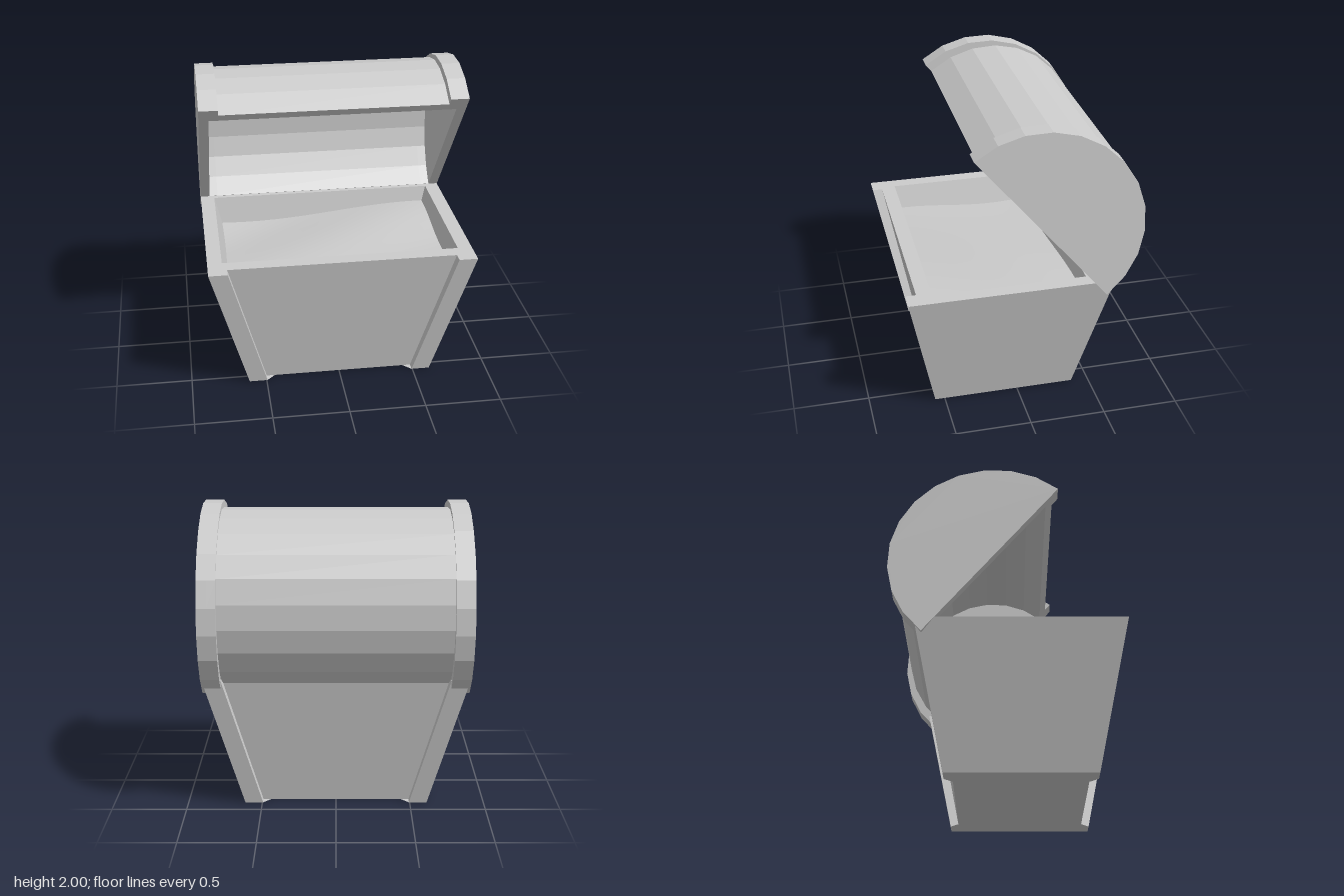
import * as THREE from 'three';

const grey = () => new THREE.MeshStandardMaterial({ color: 0xcccccc, flatShading: true });

// Ring of 12 points: three per corner, mirrored round the four corners
function ring(y, corner) {
  const pts = [];
  for (const [sx, sz, flip] of [[1, 1, 0], [-1, 1, 1], [-1, -1, 0], [1, -1, 1]]) {
    const c = flip ? [...corner].reverse() : corner;
    for (const [x, z] of c) pts.push([sx * x, y, sz * z]);
  }
  return pts;
}
const rect = (y, x, z) => ring(y, [[x, z], [x, z], [x, z]]);
// Outline with full-depth ends and a recessed middle panel
const outline = (y, x, z, xStrip, zPanel) => ring(y, [[x, z], [xStrip, z], [xStrip, zPanel]]);

// Skin a list of rings
function loft(rings) {
  const pos = [];
  for (let i = 0; i < rings.length - 1; i++) {
    const lo = rings[i], up = rings[i + 1], n = lo.length;
    for (let j = 0; j < n; j++) {
      const k = (j + 1) % n;
      pos.push(...lo[j], ...up[j], ...up[k], ...lo[j], ...up[k], ...lo[k]);
    }
  }
  const g = new THREE.BufferGeometry();
  g.setAttribute('position', new THREE.Float32BufferAttribute(pos, 3));
  g.computeVertexNormals();
  return g;
}

// Half-round arc with 12 facets
function arc(r, h) {
  const pts = [];
  for (let i = 0; i <= 12; i++) {
    const t = (i * Math.PI) / 12;
    pts.push(new THREE.Vector2(r * Math.cos(t), h * Math.sin(t)));
  }
  return pts;
}

// Half-round slab, or half-round shell when an inner arc is given
function vault(name, outer, inner, from, to) {
  const pts = inner ? [...outer, ...[...inner].reverse()] : outer;
  const g = new THREE.ExtrudeGeometry(new THREE.Shape(pts), { depth: to - from, bevelEnabled: false });
  g.translate(0, 0, from);
  const m = new THREE.Mesh(g, grey());
  m.name = name;
  return m;
}

export function createModel() {
  const model = new THREE.Group();
  model.name = 'chest';

  // Tapered box with recessed front and back panels and a hollow inside
  const base = new THREE.Group();
  base.name = 'base';
  base.position.z = 0.09;
  const box = new THREE.Mesh(loft([
    rect(0, 0, 0),
    rect(0, 0.4, 0.38),
    outline(0, 0.615, 0.475, 0.495, 0.42),
    outline(0.925, 0.862, 0.665, 0.74, 0.597),
    rect(0.925, 0.768, 0.5),
    rect(0.65, 0.695, 0.445),
    rect(0.65, 0, 0),
  ]), grey());
  box.name = 'box';
  base.add(box);

  // Gently heaped contents, edges tucked into the walls
  const heap = new THREE.PlaneGeometry(1.49, 0.97, 14, 8).rotateX(-Math.PI / 2);
  const p = heap.attributes.position;
  for (let i = 0; i < p.count; i++) {
    const x = p.getX(i), z = p.getZ(i);
    p.setY(i, 0.775 + 0.03 * Math.sin(2.2 * x + 0.3) + 0.018 * Math.cos(5 * z + 3 * x));
  }
  heap.computeVertexNormals();
  const contents = new THREE.Mesh(heap, new THREE.MeshStandardMaterial({ color: 0xcccccc }));
  contents.name = 'contents';
  base.add(contents);
  model.add(base);

  // Open lid: local x runs hinge to lip, local y outward, local z across the width
  const lid = new THREE.Group();
  lid.name = 'lid';
  const u = new THREE.Vector3(0, 1.03, 0.86).normalize();
  const n = new THREE.Vector3(0, u.z, -u.y);
  lid.quaternion.setFromRotationMatrix(new THREE.Matrix4().makeBasis(u, n, new THREE.Vector3(-1, 0, 0)));
  lid.position.set(0, 1.345, -0.095);

  const rim = arc(0.671, 0.65), barrel = arc(0.611, 0.638), hollow = arc(0.545, 0.553);
  lid.add(vault('lidBarrel', barrel, hollow, -0.742, 0.742));
  for (const [side, s] of [['left', -1], ['right', 1]]) {
    const span = (a, b) => (s > 0 ? [a, b] : [-b, -a]);
    lid.add(vault(side + 'LidBand', rim, hollow, ...span(0.742, 0.8)));
    lid.add(vault(side + 'LidEnd', rim, null, ...span(0.8, 0.864)));
  }
  model.add(lid);
  return model;
}
